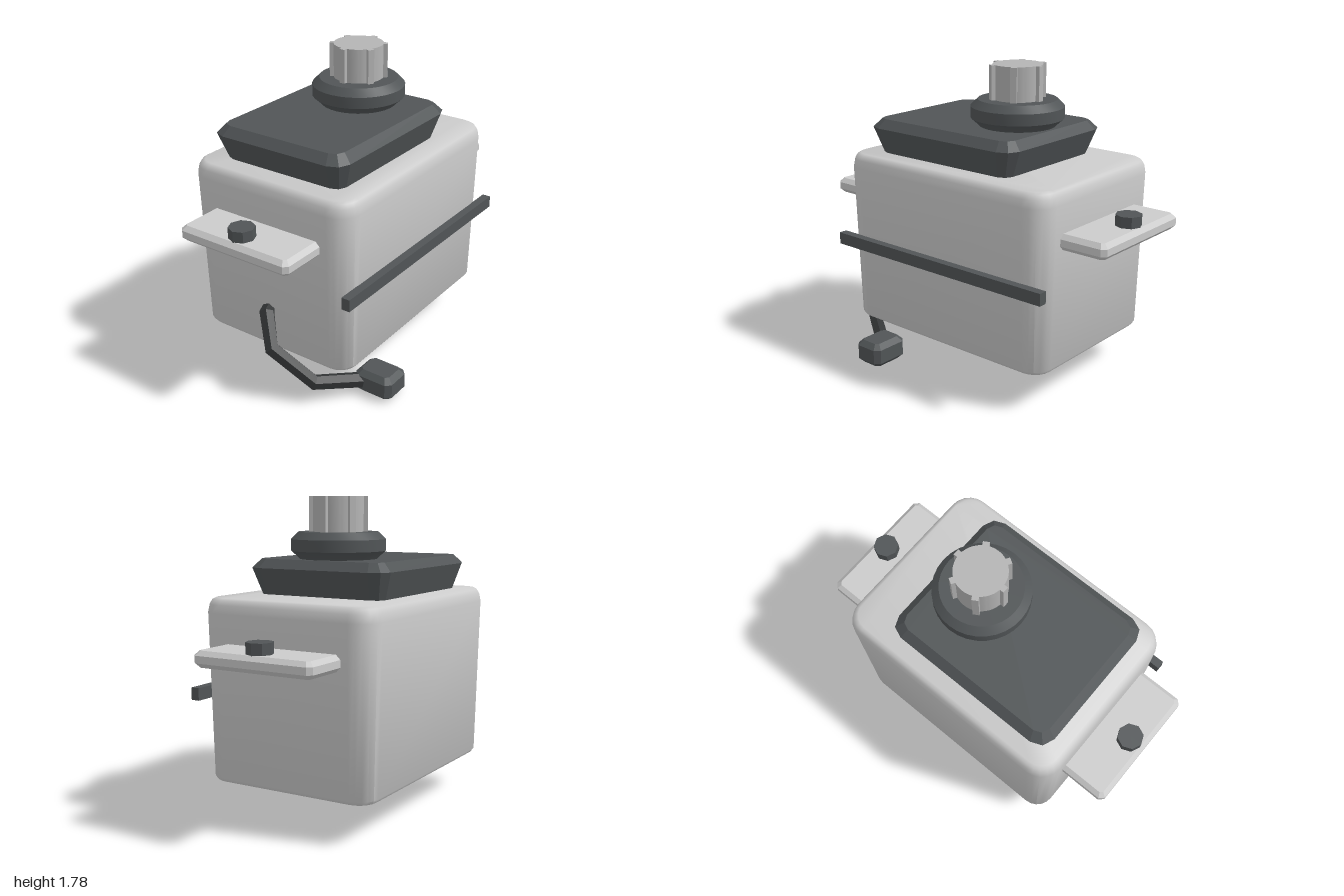
import * as THREE from 'three';
import { toCreasedNormals } from 'three/addons/utils/BufferGeometryUtils.js';

const material = (color) => new THREE.MeshStandardMaterial({ color, side: THREE.DoubleSide });
const grey = material(0xcccccc);
const steel = material(0xb4b4b4);
const dark = material(0x515557);
const black = material(0x343637);

// Stack of rounded rectangles, each [y, half width, half depth, corner radius], closed at both ends.
function loft(rings, cornerSegments, crease) {
  const perRing = 4 * (cornerSegments + 1);
  const positions = [], index = [];
  for (const [y, w, d, r] of rings) {
    for (let c = 0; c < 4; c++) {
      const cx = (c === 0 || c === 3 ? 1 : -1) * (w - r);
      const cz = (c < 2 ? 1 : -1) * (d - r);
      for (let s = 0; s <= cornerSegments; s++) {
        const a = (c + s / cornerSegments) * Math.PI / 2;
        positions.push(cx + r * Math.cos(a), y, cz + r * Math.sin(a));
      }
    }
  }
  for (let k = 0; k < rings.length - 1; k++) {
    for (let i = 0; i < perRing; i++) {
      const a = k * perRing + i, b = k * perRing + (i + 1) % perRing;
      index.push(a, a + perRing, b, b, a + perRing, b + perRing);
    }
  }
  const top = (rings.length - 1) * perRing;
  for (let i = 1; i < perRing - 1; i++) {
    index.push(0, i, i + 1, top, top + i + 1, top + i);
  }
  const geometry = new THREE.BufferGeometry();
  geometry.setAttribute('position', new THREE.Float32BufferAttribute(positions, 3));
  geometry.setIndex(index);
  return toCreasedNormals(geometry, crease);
}

// Box with every edge chamfered, standing on y = 0.
function chamferBox(w, h, d, c) {
  return loft([
    [0, w / 2 - c, d / 2 - c, c * 0.6],
    [c, w / 2, d / 2, c],
    [h - c, w / 2, d / 2, c],
    [h, w / 2 - c, d / 2 - c, c * 0.6],
  ], 1, 0.1);
}

// Output shaft outline with six narrow teeth.
function splineShape(core, tip, halfWidth, teeth) {
  const shape = new THREE.Shape();
  const half = Math.asin(halfWidth / core);
  const at = (r, a) => [r * Math.cos(a), r * Math.sin(a)];
  shape.moveTo(...at(core, -half));
  for (let i = 0; i < teeth; i++) {
    const a = i / teeth * Math.PI * 2;
    const next = a + Math.PI * 2 / teeth - half;
    shape.lineTo(...at(tip, a - half * core / tip));
    shape.lineTo(...at(tip, a + half * core / tip));
    shape.lineTo(...at(core, a + half));
    shape.absarc(0, 0, core, a + half, next, false);
  }
  return shape;
}

// Straight runs between points, sampled exactly at the bends.
class Polyline extends THREE.Curve {
  constructor(points) {
    super();
    this.points = points;
  }
  getPoint(t, target = new THREE.Vector3()) {
    const f = t * (this.points.length - 1);
    const i = Math.min(Math.floor(f), this.points.length - 2);
    return target.lerpVectors(this.points[i], this.points[i + 1], f - i);
  }
  getUtoTmapping(u) {
    return u;
  }
}

export function createModel() {
  const model = new THREE.Group();
  model.name = 'servoMotor';
  const midZ = -0.075;
  const add = (name, geometry, mat, x, y, z) => {
    const mesh = new THREE.Mesh(geometry, mat);
    mesh.name = name;
    mesh.position.set(x, y, z);
    model.add(mesh);
    return mesh;
  };

  // Slightly tapered case with a softly rounded top rim
  add('case', loft([
    [0.22, 0.695, 0.5, 0.1],
    [0.24, 0.708, 0.515, 0.11],
    [1.16, 0.73, 0.537, 0.13],
    [1.205, 0.722, 0.529, 0.125],
    [1.23, 0.708, 0.515, 0.115],
    [1.24, 0.69, 0.497, 0.1],
  ], 5, 0.7), grey, 0, 0, midZ);

  // Flared gear cover with a chamfered rim
  add('gearCover', loft([
    [1.235, 0.475, 0.39, 0.06],
    [1.39, 0.535, 0.438, 0.09],
    [1.44, 0.488, 0.39, 0.06],
  ], 2, 0.1), dark, -0.1, 0, -0.08);

  // Round collar under the shaft
  const collar = [[0, 1.43], [0.215, 1.43], [0.222, 1.445], [0.267, 1.485],
    [0.267, 1.55], [0.226, 1.59], [0, 1.59]].map(([x, y]) => new THREE.Vector2(x, y));
  add('shaftCollar', toCreasedNormals(new THREE.LatheGeometry(collar, 32), 0.5), dark, 0.145, 0, midZ);

  // Toothed output shaft
  const shaft = new THREE.ExtrudeGeometry(splineShape(0.142, 0.165, 0.018, 6),
    { depth: 0.2, bevelEnabled: false, curveSegments: 5 });
  shaft.rotateX(-Math.PI / 2);
  add('outputShaft', toCreasedNormals(shaft, 0.5), steel, 0.145, 1.585, midZ);

  // Mounting ears and their screws on both ends
  for (const side of [-1, 1]) {
    const label = side > 0 ? 'left' : 'right';
    add(label + 'MountingEar', chamferBox(0.36, 0.09, 0.73, 0.025), grey, side * 0.82, 0.91, midZ);
    const screw = new THREE.CylinderGeometry(0.073, 0.073, 0.08, 8).toNonIndexed();
    screw.computeVertexNormals();
    add(label + 'Screw', screw, dark, side * 0.905, 1.022, midZ);
  }

  // Seam strip across the front
  add('seamStrip', new THREE.BoxGeometry(1.515, 0.07, 0.05), dark, 0, 0.71, 0.475);

  // Bent cable leaving the right end, with its plug
  const path = [[-0.66, 0.46, -0.1], [-0.745, 0.46, -0.07], [-0.845, 0.32, 0.04],
    [-0.745, 0.125, 0.25], [-0.5, 0.07, 0.42]].map((p) => new THREE.Vector3(...p));
  const cable = new THREE.TubeGeometry(new Polyline(path), path.length - 1, 0.045, 6, false);
  add('cable', toCreasedNormals(cable, 0.1), black, 0, 0, 0);
  add('plug', chamferBox(0.19, 0.145, 0.24, 0.03), dark, -0.445, 0, 0.49);

  return model;
}
